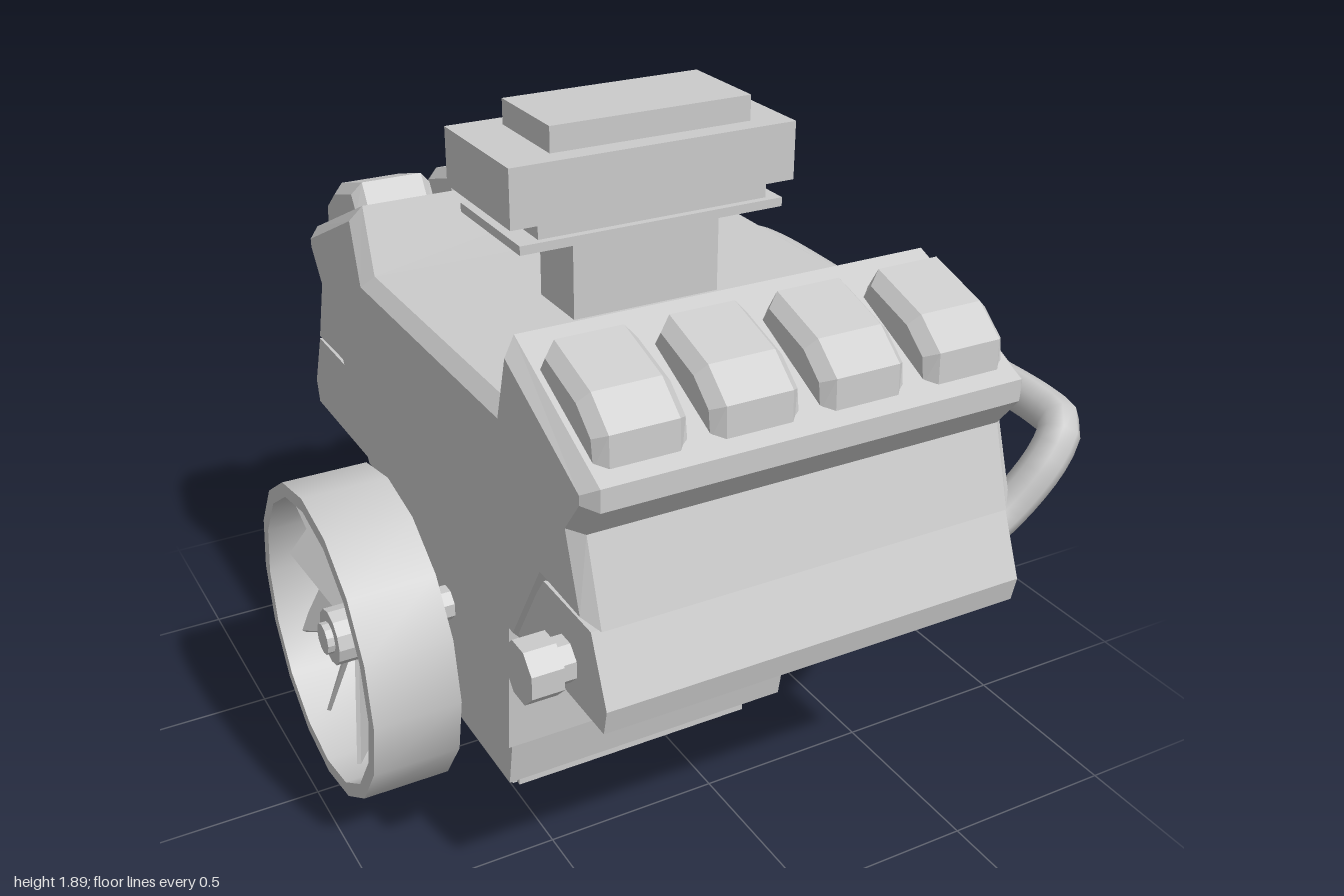
import * as THREE from 'three';
import { toCreasedNormals } from 'three/addons/utils/BufferGeometryUtils.js';

const flat = new THREE.MeshStandardMaterial({ color: 0xcccccc, flatShading: true });
const smooth = new THREE.MeshStandardMaterial({ color: 0xcccccc, side: THREE.DoubleSide });

export function createModel() {
  const engine = new THREE.Group();
  engine.name = 'engine';

  const add = (name, geometry, material = flat, parent = engine) => {
    const mesh = new THREE.Mesh(geometry, material);
    mesh.name = name;
    parent.add(mesh);
    return mesh;
  };

  // Box given by its limits
  const box = (name, x0, x1, y0, y1, z) =>
    add(name, new THREE.BoxGeometry(x1 - x0, y1 - y0, 2 * z).translate((x0 + x1) / 2, (y0 + y1) / 2, 0));

  // Profile of [z, y] points extruded along x, ends chamfered inwards by b
  const prism = (name, pts, x0, x1, b = 0) => {
    const shape = new THREE.Shape(pts.map(([z, y]) => new THREE.Vector2(-z, y)));
    const geo = new THREE.ExtrudeGeometry(shape, {
      depth: x1 - x0 - 2 * b, bevelEnabled: b > 0, bevelThickness: b,
      bevelSize: b, bevelOffset: -b, bevelSegments: 1,
    });
    return add(name, geo.rotateY(Math.PI / 2).translate(x0 + b, 0, 0));
  };
  const mirrored = (half) => [...half, ...half.map(([z, y]) => [-z, y]).reverse()];

  // Solid round or polygonal part lying along x
  const rod = (name, x0, x1, r, y, z, sides, turn = 0) => {
    const geo = new THREE.CylinderGeometry(r, r, x1 - x0, sides).rotateY(turn).rotateZ(Math.PI / 2);
    return add(name, geo.translate((x0 + x1) / 2, y, z));
  };

  // V-shaped block with both cylinder heads
  prism('block', mirrored([
    [0.44, 1.34], [0.5, 1.53], [0.93, 1.33], [0.93, 1.27],
    [0.86, 1.18], [0.93, 0.96], [0.7, 0.96], [0.53, 0.685],
  ]), -0.6, 0.64, 0.035);

  // Crankcase and stepped oil pan
  prism('crankcase', mirrored([[0.42, 0.7], [0.385, 0.26]]), -0.57, 0.615);
  prism('oilPanRim', mirrored([[0.385, 0.26], [0.36, 0.12]]), -0.56, 0.32);
  box('oilPan', -0.5, 0.24, 0.04, 0.12, 0.29);
  box('oilSump', -0.495, -0.05, 0, 0.04, 0.23);

  // Exhaust manifold and valve cover bumps on each bank
  for (const s of [1, -1]) {
    const side = (pts) => pts.map(([z, y]) => [s * z, y]);
    prism('exhaustManifold', side([[0.925, 0.965], [1, 0.79], [0.985, 0.72], [0.5, 0.72], [0.68, 0.965]]), -0.59, 0.605);
    for (let i = 0; i < 4; i++) {
      const x = -0.43 + i * 0.3;
      prism('valveCoverBump', side([
        [0.56, 1.46], [0.62, 1.555], [0.8, 1.5], [0.885, 1.43], [0.89, 1.31],
      ]), x - 0.12, x + 0.12, 0.03);
    }
  }

  // Carburettor and air intake stack
  box('intakeNeck', -0.21, 0.23, 1.32, 1.59, 0.1);
  box('intakeFlange', -0.4, 0.375, 1.585, 1.61, 0.185);
  box('intakeCollar', -0.34, 0.335, 1.61, 1.665, 0.165);
  box('airCleaner', -0.43, 0.4, 1.66, 1.82, 0.198);
  box('airCleanerLid', -0.29, 0.295, 1.82, 1.89, 0.14);

  // Octagonal pulley with a hollow hub
  const eighth = Math.PI / 8;
  rod('crankPulley', 0.6, 0.735, 0.288, 0.585, 0, 8, eighth);
  rod('pulleyFace', 0.735, 0.747, 0.278, 0.585, 0, 8, eighth);
  const hub = add('pulleyHub', new THREE.LatheGeometry(
    [[0.05, 0], [0.075, 0], [0.075, 0.015], [0.05, 0.015], [0.05, 0]].map(([r, h]) => new THREE.Vector2(r, h)), 8),
  new THREE.MeshStandardMaterial({ color: 0xcccccc, flatShading: true, side: THREE.DoubleSide }));
  hub.geometry.rotateY(eighth).rotateZ(-Math.PI / 2);
  hub.position.set(0.745, 0.6, 0);

  // Coolant pipe looping between the banks
  const pipePoints = [[0.58, 0.79, 0.8], [0.7, 0.86, 0.81], [0.83, 1.0, 0.82], [0.89, 1.07, 0.79], [0.91, 1.08, 0.7]];
  const pipePath = [...pipePoints, [0.91, 1.075, 0], ...pipePoints.map(([x, y, z]) => [x, y, -z]).reverse()];
  const curve = new THREE.CatmullRomCurve3(pipePath.map((p) => new THREE.Vector3(...p)), false, 'centripetal');
  add('coolantPipe', new THREE.TubeGeometry(curve, 60, 0.058, 8), smooth);

  // Water outlet and fan shaft
  rod('waterOutlet', -0.66, -0.55, 0.06, 0.815, 0.795, 8, eighth);
  rod('waterOutletLip', -0.715, -0.63, 0.08, 0.815, 0.795, 8, eighth);
  rod('fanShaft', -0.85, -0.55, 0.05, 0.51, 0, 8, eighth);

  // Fan: open drum, hub and pitched blades, built around its own axis
  const fan = new THREE.Group();
  fan.name = 'fan';
  fan.position.set(-0.842, 0.505, 0);
  engine.add(fan);
  const drum = new THREE.LatheGeometry(
    [[0.405, -0.12], [0.445, -0.12], [0.445, 0.12], [0.405, 0.12], [0.405, -0.12]].map(([r, h]) => new THREE.Vector2(r, h)), 16);
  add('fanDrum', toCreasedNormals(drum.rotateZ(Math.PI / 2), 0.5), smooth, fan);
  add('fanHub', new THREE.CylinderGeometry(0.08, 0.08, 0.16, 12).rotateZ(Math.PI / 2), flat, fan);
  add('fanHubCap', new THREE.CylinderGeometry(0.045, 0.045, 0.2, 12).rotateZ(Math.PI / 2), flat, fan);
  const wedge = new THREE.Shape([[-0.025, 0.06], [0.025, 0.06], [0.1, 0.41], [-0.1, 0.41]].map((p) => new THREE.Vector2(...p)));
  for (let i = 0; i < 10; i++) {
    const blade = new THREE.ExtrudeGeometry(wedge, { depth: 0.012, bevelEnabled: false });
    blade.translate(0, 0, -0.006).rotateY(Math.PI / 2 + 0.6).rotateX((i * Math.PI) / 5);
    add('fanBlade', blade, flat, fan);
  }

  return engine;
}
